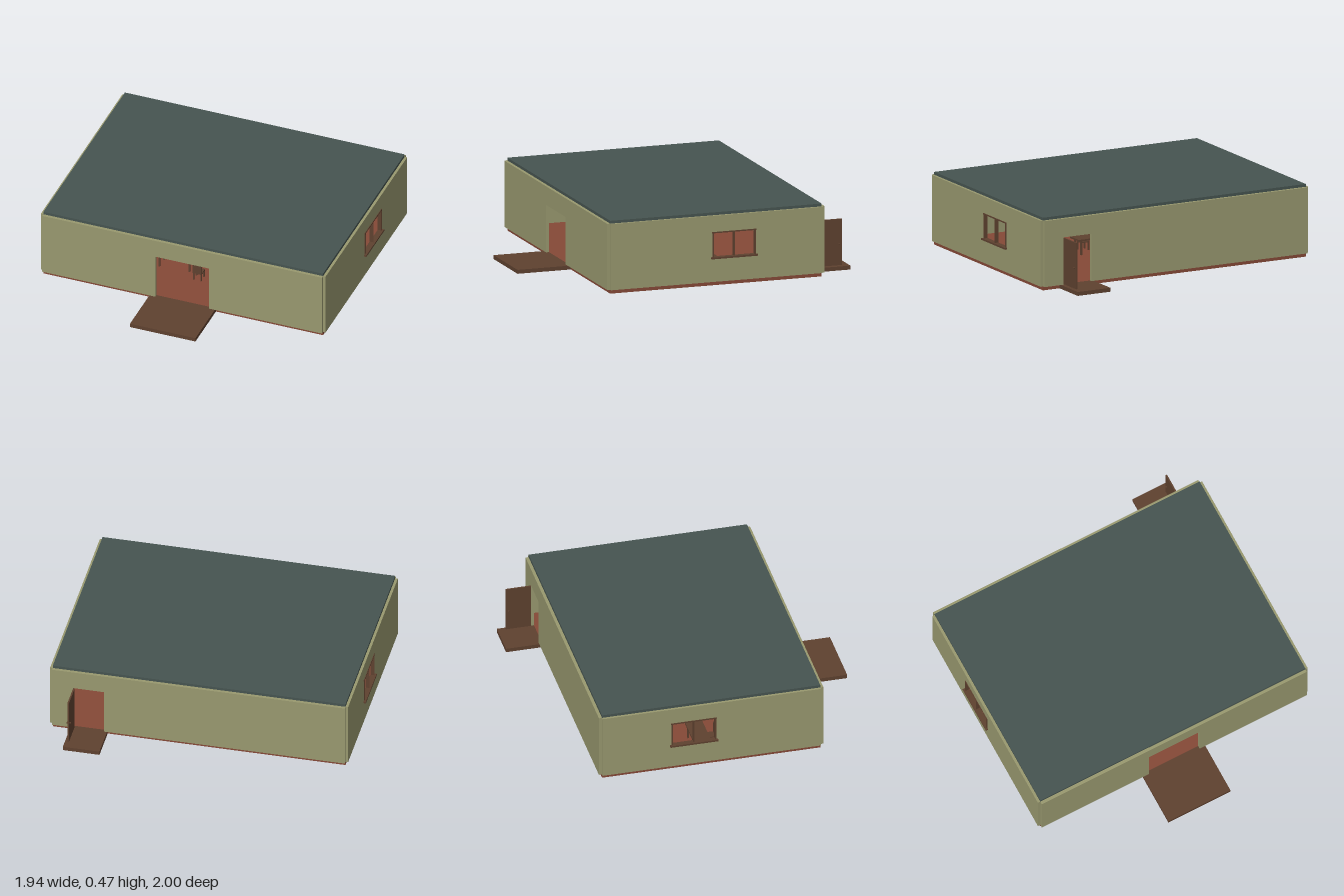
import * as THREE from 'three';

const mat = (name, color) => new THREE.MeshStandardMaterial({ name, color });

export function createModel() {
  const olive = mat('olive wall', 0x98986f);
  const slate = mat('slate roof', 0x465450);
  const brown = mat('brown wood', 0x5e412f);
  const red = mat('red floor', 0x854937);

  const model = new THREE.Group();
  model.name = 'house';

  // Box given by its two opposite corners
  function box(name, material, [x0, y0, z0], [x1, y1, z1], parent = model) {
    const mesh = new THREE.Mesh(new THREE.BoxGeometry(x1 - x0, y1 - y0, z1 - z0), material);
    mesh.position.set((x0 + x1) / 2, (y0 + y1) / 2, (z0 + z1) / 2);
    mesh.name = name;
    parent.add(mesh);
    return mesh;
  }

  const base = 0.025, top = 0.45, front = 0.645, back = -0.765, side = 0.94;

  // Floor slab, flat roof and the two doorsteps
  box('floor', red, [-side, 0, back], [side, base, front]);
  box('roof', slate, [-side, top, back], [side, 0.468, front]);
  box('frontStep', brown, [-0.22, 0, front], [0.22, base, 1]);
  box('backStep', brown, [0.587, 0, -1], [0.822, base, back]);

  // Front and back walls, each notched by a doorway
  function doorWall(name, z, left, right, height) {
    const shape = new THREE.Shape([
      [-side, base], [left, base], [left, height], [right, height],
      [right, base], [side, base], [side, top], [-side, top],
    ].map(([x, y]) => new THREE.Vector2(x, y)));
    const mesh = new THREE.Mesh(
      new THREE.ExtrudeGeometry(shape, { depth: 0.02, bevelEnabled: false }), olive);
    mesh.position.z = z;
    mesh.name = name;
    model.add(mesh);
  }
  doorWall('frontWall', front, -0.18, 0.18, 0.33);
  doorWall('backWall', back - 0.02, 0.605, 0.805, 0.33);

  // Side walls with a window hole, frame, mullion and sill
  const rect = (Type, u0, v0, u1, v1) => new Type(
    [[u0, v0], [u1, v0], [u1, v1], [u0, v1]].map(([u, v]) => new THREE.Vector2(u, v)));
  const wz0 = -0.318, wz1 = -0.032, wy0 = 0.18, wy1 = 0.344;
  for (const s of [1, -1]) {
    const label = s > 0 ? 'left' : 'right';
    const shape = rect(THREE.Shape, -front, base, -back, top);
    shape.holes.push(rect(THREE.Path, -wz1, wy0, -wz0, wy1));
    const geometry = new THREE.ExtrudeGeometry(shape, { depth: 0.017, bevelEnabled: false });
    geometry.rotateY(Math.PI / 2);
    const wall = new THREE.Mesh(geometry, olive);
    wall.position.x = s > 0 ? side : -side - 0.017;
    wall.name = label + 'Wall';
    model.add(wall);

    const win = new THREE.Group();
    win.name = label + 'Window';
    model.add(win);
    const xs = (a, b) => (s > 0 ? [a, b] : [-b, -a]);
    const bar = (name, a, b, y0, y1, z0, z1) => {
      const [x0, x1] = xs(a, b);
      box(name, brown, [x0, y0, z0], [x1, y1, z1], win);
    };
    bar('sill', 0.935, 0.972, 0.174, 0.185, -0.33, -0.02);
    bar('frameTop', 0.935, 0.961, 0.338, 0.346, -0.323, -0.027);
    bar('frameBack', 0.935, 0.961, wy0, wy1, -0.32, -0.311);
    bar('frameFront', 0.935, 0.961, wy0, wy1, -0.039, -0.03);
    bar('mullion', 0.935, 0.96, wy0, wy1, -0.178, -0.172);
  }

  // Back door, standing open, with a knob on each face
  box('backDoor', brown, [0.795, 0.03, -0.948], [0.805, 0.327, back - 0.02]);
  for (const x of [0.791, 0.809]) {
    const knob = new THREE.Mesh(new THREE.SphereGeometry(0.006, 10, 8), brown);
    knob.position.set(x, 0.165, -0.93);
    knob.name = 'doorKnob';
    model.add(knob);
  }

  // Board on the inner face of the back wall
  box('wallBoard', brown, [-0.4, 0.178, back], [0.4, 0.37, back + 0.01]);

  // Four square legs
  function legs(group, hx, hz, height, t) {
    for (const x of [-hx, hx]) for (const z of [-hz, hz])
      box('leg', brown, [x - t, base, z - t], [x + t, height, z + t], group);
  }

  // Table with a chair on its front side
  function desk(x, z) {
    const table = new THREE.Group();
    table.name = 'table';
    table.position.set(x, 0, z);
    box('tableTop', brown, [-0.108, 0.117, -0.055], [0.108, 0.128, 0.055], table);
    legs(table, 0.081, 0.04, 0.117, 0.005);

    const chair = new THREE.Group();
    chair.name = 'chair';
    chair.position.set(x, 0, z + 0.085);
    box('seat', brown, [-0.03, 0.075, -0.03], [0.03, 0.083, 0.03], chair);
    box('chairBack', brown, [-0.03, 0.08, 0.023], [0.03, 0.157, 0.03], chair);
    legs(chair, 0.025, 0.025, 0.075, 0.004);
    model.add(table, chair);
  }
  for (const [x, z] of [[-0.36, 0.3], [0, 0.29], [0.24, -0.1], [-0.75, -0.1], [0.7, -0.1]]) desk(x, z);

  return model;
}
